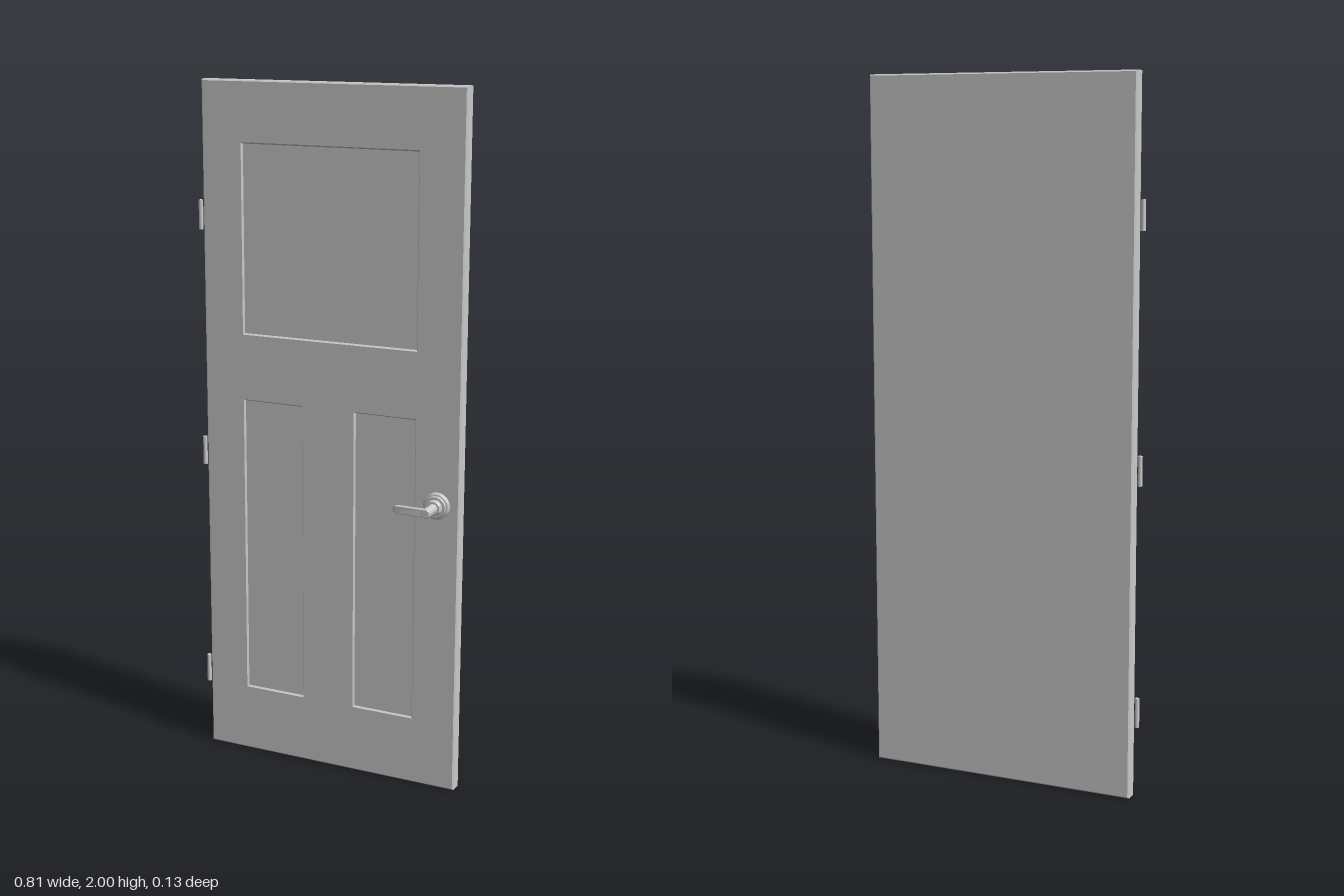
import * as THREE from 'three';
import { toCreasedNormals } from 'three/addons/utils/BufferGeometryUtils.js';

const material = new THREE.MeshStandardMaterial({ color: 0xcccccc });

function add(parent, name, geometry, x = 0, y = 0, z = 0) {
  const mesh = new THREE.Mesh(geometry, material);
  mesh.name = name;
  mesh.position.set(x, y, z);
  parent.add(mesh);
  return mesh;
}

// Rectangle corners, counter-clockwise seen from +z, shrunk by an inset
const corners = ([x0, y0, x1, y1], inset, z) => [
  [x0 + inset, y0 + inset, z], [x1 - inset, y0 + inset, z],
  [x1 - inset, y1 - inset, z], [x0 + inset, y1 - inset, z],
];

// Joins rectangular rings in order, optionally closing the first and last
function loft(rings, capFirst, capLast) {
  const points = [];
  const quad = (a, b, c, d) => [a, b, c, a, c, d].forEach((p) => points.push(...p));
  for (let r = 0; r < rings.length - 1; r++) {
    const a = rings[r], b = rings[r + 1];
    for (let i = 0; i < 4; i++) {
      const j = (i + 1) % 4;
      quad(a[i], a[j], b[j], b[i]);
    }
  }
  if (capFirst) quad(...[...rings[0]].reverse());
  if (capLast) quad(...rings[rings.length - 1]);
  const geometry = new THREE.BufferGeometry();
  geometry.setAttribute('position', new THREE.Float32BufferAttribute(points, 3));
  geometry.computeVertexNormals();
  return geometry;
}

// Turned part whose axis points to +z; profile is [radius, z]
function turned(profile) {
  const lathe = new THREE.LatheGeometry(profile.map((p) => new THREE.Vector2(...p)), 32);
  return toCreasedNormals(lathe.rotateX(Math.PI / 2), 0.5);
}

export function createModel() {
  const model = new THREE.Group();
  model.name = 'door';

  // Door leaf with chamfered edges
  const leaf = [-0.393, 0, 0.402, 2];
  const back = -0.066, front = -0.025, bevel = 0.004;
  add(model, 'doorLeaf', loft([
    corners(leaf, bevel, back), corners(leaf, 0, back + bevel),
    corners(leaf, 0, front - bevel), corners(leaf, bevel, front),
  ], true, false));

  // Front face with openings, each filled by a sunken panel
  const toPath = (pts) => pts.map(([x, y]) => new THREE.Vector2(x, y));
  const face = new THREE.Shape(toPath(corners(leaf, bevel, 0)));
  const panels = {
    upperPanel: [-0.27, 1.285, 0.27, 1.83],
    lowerRightPanel: [-0.27, 0.2, -0.08, 1.095],
    lowerLeftPanel: [0.08, 0.2, 0.27, 1.095],
  };
  for (const [name, rect] of Object.entries(panels)) {
    face.holes.push(new THREE.Path(toPath(corners(rect, 0, 0)).reverse()));
    add(model, name, loft([corners(rect, 0, front), corners(rect, 0.004, front - 0.006)], false, true));
  }
  add(model, 'frontFace', new THREE.ShapeGeometry(face), 0, 0, front);

  // Hinge barrels along the right edge
  for (const y of [0.24, 0.928, 1.622]) {
    add(model, 'hinge', new THREE.CylinderGeometry(0.0065, 0.0065, 0.084, 16), -0.4, y, -0.0245);
  }

  // Lever handle: rose, collar, spindle and lever
  const handle = new THREE.Group();
  handle.name = 'handle';
  handle.position.set(0.337, 0.855, 0);
  model.add(handle);
  add(handle, 'rose', turned([
    [0.038, front], [0.038, -0.014], [0.036, -0.012], [0.031, -0.011], [0.029, -0.006], [0, -0.006],
  ]));
  add(handle, 'collar', turned([[0.022, -0.006], [0.022, 0.004], [0.019, 0.008], [0, 0.008]]));
  add(handle, 'spindle', turned([[0.0135, 0.008], [0.0135, 0.061], [0.011, 0.064], [0, 0.064]]));

  const outline = new THREE.Shape();
  outline.moveTo(0, 0.009);
  outline.lineTo(-0.087, 0.009);
  outline.absarc(-0.087, 0, 0.009, Math.PI / 2, Math.PI * 1.5, false);
  outline.lineTo(0, -0.009);
  const lever = new THREE.ExtrudeGeometry(outline, {
    depth: 0.005, bevelThickness: 0.003, bevelSize: 0.003, bevelSegments: 3, curveSegments: 12,
  });
  add(handle, 'lever', toCreasedNormals(lever, 0.7), 0, 0, 0.0525);

  return model;
}
